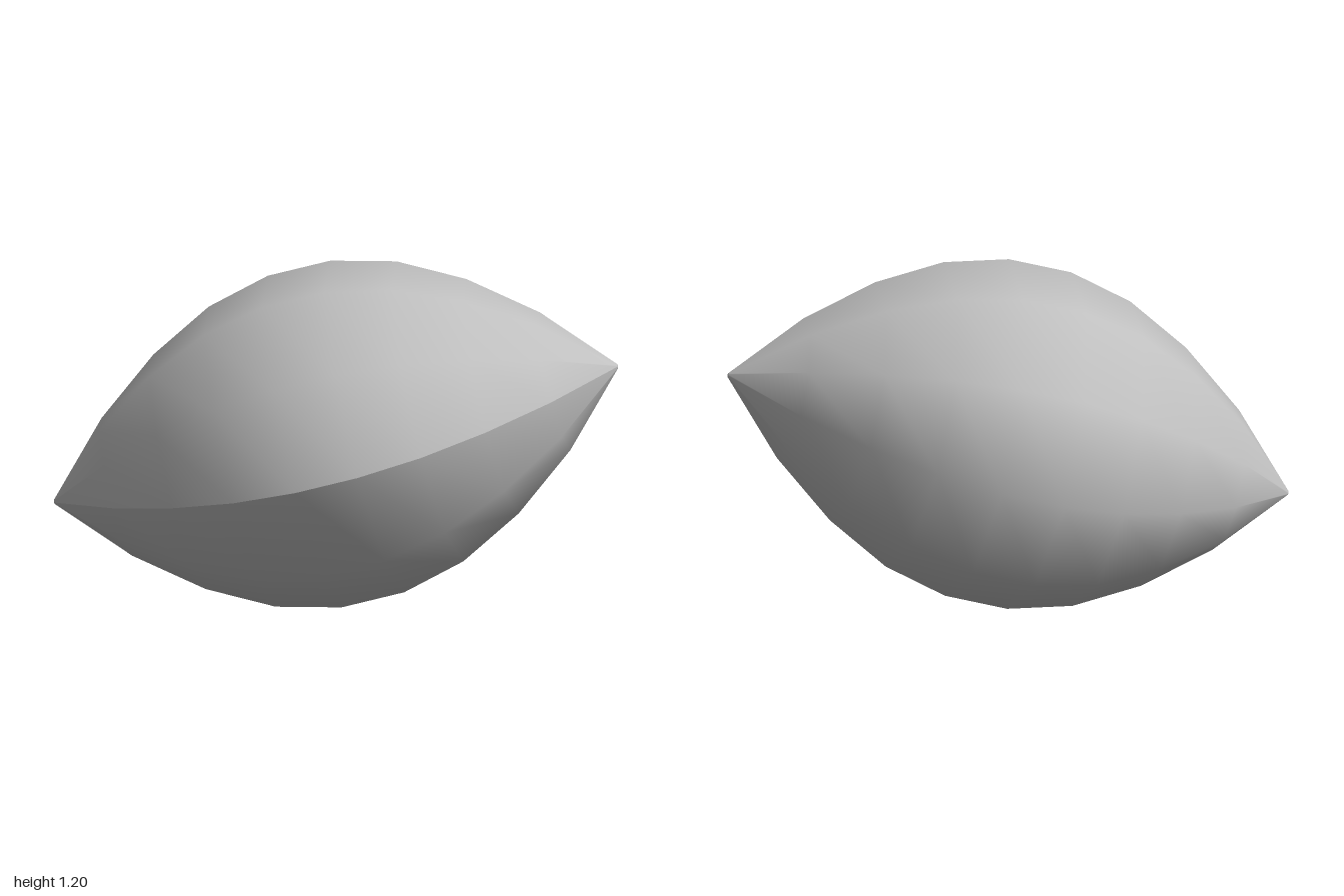
import * as THREE from 'three';

const HALF_LENGTH = 1.069;
const HEIGHT_RADIUS = 0.622;
const DEPTH_RADIUS = 0.79;
const SIDES = 10;
const RINGS = 9;
// Relative radius of each ring, from a tip to the middle
const PROFILE = [0.012, 0.41, 0.698, 0.893, 0.987];

export function createModel() {
  const group = new THREE.Group();
  group.name = 'spindle';

  const grey = new THREE.MeshStandardMaterial({ color: 0xbfbfbf });
  grey.name = 'grey';

  // Ten-sided tube, narrowed to a point at both ends and flattened in height
  const geometry = new THREE.CylinderGeometry(1, 1, 2, SIDES, RINGS);
  const pos = geometry.attributes.position;
  for (let i = 0; i < pos.count; i++) {
    const y = pos.getY(i);
    const ring = Math.round(((y + 1) / 2) * RINGS);
    const r = PROFILE[Math.min(ring, RINGS - ring)];
    pos.setXYZ(i, pos.getX(i) * r * HEIGHT_RADIUS, y * HALF_LENGTH, pos.getZ(i) * r * DEPTH_RADIUS);
  }
  // Smooth normals, with a crease along the front seam where the tube closes
  geometry.computeVertexNormals();

  // Lay the long axis along x, then tip it up and turn it back on the left
  geometry.rotateZ(-Math.PI / 2);
  geometry.rotateZ(0.2547);
  geometry.rotateY(0.2637);

  const body = new THREE.Mesh(geometry, grey);
  body.name = 'body';
  body.position.y = 0.604;
  group.add(body);

  return group;
}
